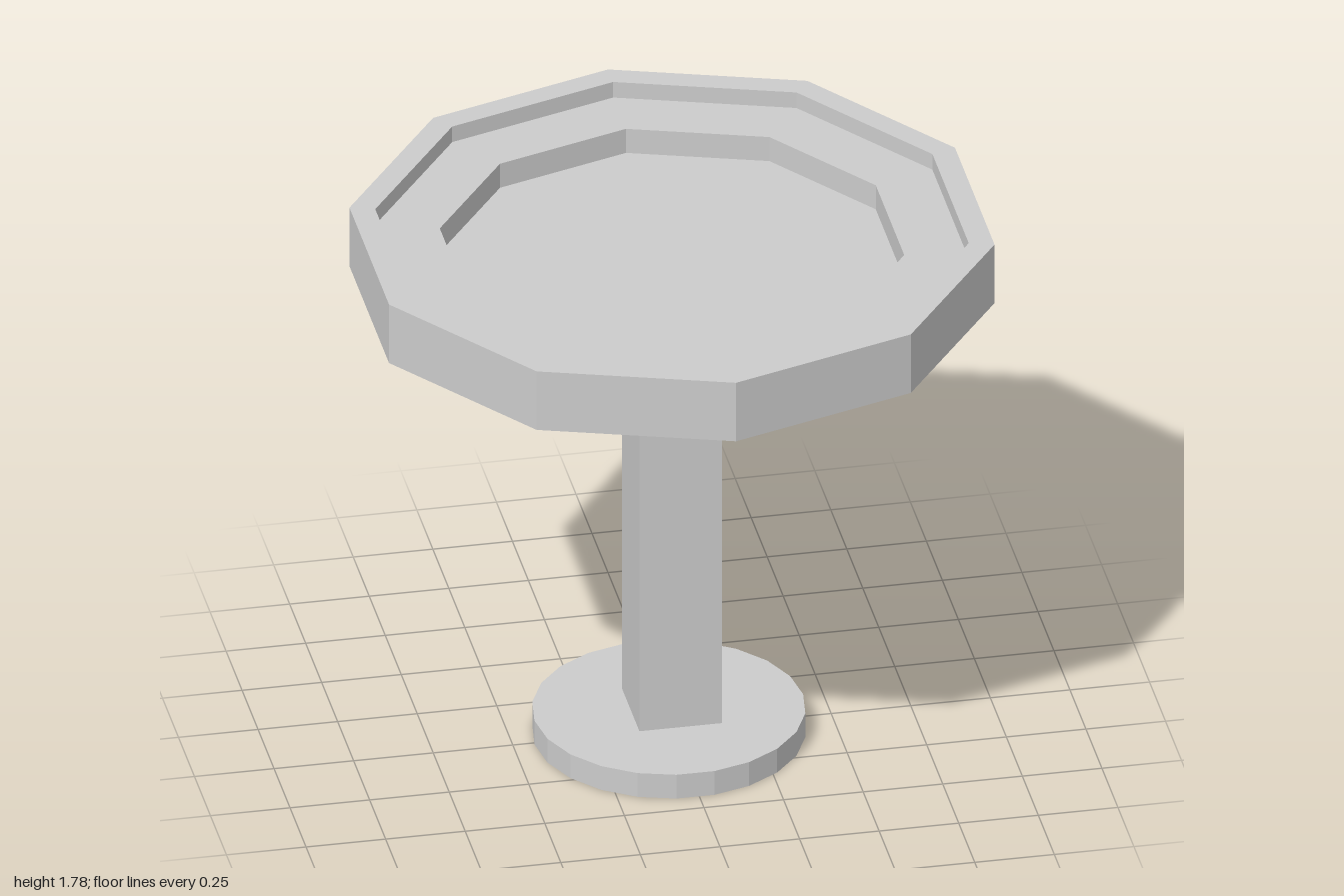
import * as THREE from 'three';

const material = new THREE.MeshStandardMaterial({ color: 0xcccccc, flatShading: true });

function addPart(group, name, geometry, x, y, z) {
  const mesh = new THREE.Mesh(geometry, material);
  mesh.name = name;
  mesh.position.set(x, y, z);
  group.add(mesh);
  return mesh;
}

export function createModel() {
  const group = new THREE.Group();
  group.name = 'pedestalTable';

  const baseHeight = 0.084, topBottom = 1.573, topHeight = 0.207;

  // Round foot, slightly off centre under the post
  const base = addPart(group, 'base',
    new THREE.CylinderGeometry(0.422, 0.422, baseHeight, 22), -0.012, baseHeight / 2, 0.01);
  base.rotation.y = Math.PI / 2;

  // Square post
  const postHeight = topBottom - baseHeight;
  addPart(group, 'post',
    new THREE.BoxGeometry(0.26, postHeight, 0.276), 0, baseHeight + postHeight / 2, 0);

  // Ten-sided top: outer rim, lower ledge and sunken floor
  const profile = [
    [0, 0], [1, 0], [1, topHeight],
    [0.92, topHeight], [0.92, topHeight - 0.055],
    [0.72, topHeight - 0.055], [0.72, topHeight - 0.14], [0, topHeight - 0.14],
  ].map(([r, y]) => new THREE.Vector2(r, y));
  const top = new THREE.LatheGeometry(profile, 10).toNonIndexed();
  top.computeVertexNormals();
  addPart(group, 'tableTop', top, 0, topBottom, 0);

  return group;
}
